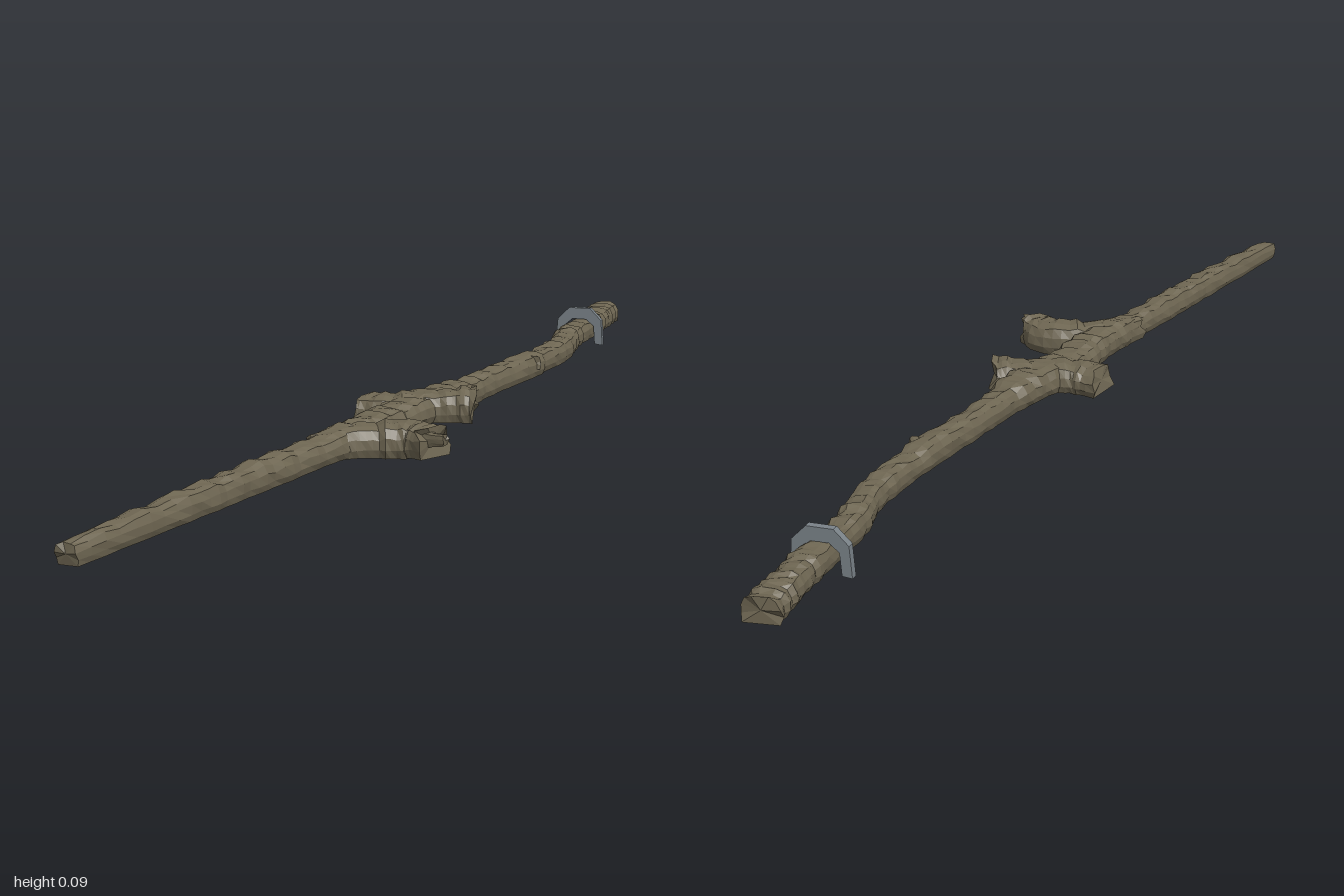
import * as THREE from 'three';

// Small seeded noise for the bark
let seed = 7;
const rand = () => {
  seed = (seed * 16807) % 2147483647;
  return seed / 2147483647;
};

// Half of a limb's outline: rounded on top, flat underneath [side, height]
const HALF = [[0.85, 0], [1, 0.28], [0.97, 0.6], [0.76, 0.87], [0.36, 0.98]];
const OUTLINE = [...HALF, ...HALF.slice().reverse().map(([u, v]) => [-u, v])];

// Loft the outline along stations of [x, z, width, bottom, top]
function limbGeometry(stations, rings, rough, jag) {
  const path = new THREE.CatmullRomCurve3(stations.map(s => new THREE.Vector3(s[0], 0, s[1])), false, 'centripetal');
  const n = OUTLINE.length;
  const positions = [];
  const index = [];
  const centres = [];
  let ridge = 1;
  for (let i = 0; i <= rings; i++) {
    const t = i / rings;
    const f = t * (stations.length - 1);
    const k = Math.min(Math.floor(f), stations.length - 2);
    const [w, b, h] = [2, 3, 4].map(c => THREE.MathUtils.lerp(stations[k][c], stations[k + 1][c], f - k));
    const p = path.getPoint(t);
    const d = path.getTangent(t);
    // Bark flakes: swell suddenly, then shrink back over a few rings
    ridge = i % 3 === 0 ? 1 + rough * rand() : ridge - rough * 0.35;
    const atEnd = i === 0 || i === rings;
    for (const [u, v] of OUTLINE) {
      const s = u * w / 2 * (ridge + rough * (rand() - 0.5));
      const y = b + v * (h - b) * (v > 0.5 ? ridge + rough * (rand() - 0.5) : 1);
      const along = atEnd ? jag * (rand() - 0.5) : 0;
      positions.push(p.x + d.z * s + d.x * along, y, p.z - d.x * s + d.z * along);
    }
    centres.push([p.x, (b + h) / 2, p.z]);
  }
  for (let i = 0; i < rings; i++) {
    for (let j = 0; j < n; j++) {
      const a = i * n + j, c = i * n + (j + 1) % n;
      index.push(a, c, c + n, a, c + n, a + n);
    }
  }
  // Broken ends
  const first = positions.length / 3;
  positions.push(...centres[0], ...centres[rings]);
  for (let j = 0; j < n; j++) {
    const k = (j + 1) % n;
    index.push(first, k, j, first + 1, rings * n + j, rings * n + k);
  }
  const geometry = new THREE.BufferGeometry();
  geometry.setAttribute('position', new THREE.Float32BufferAttribute(positions, 3));
  geometry.setIndex(index);
  const flat = geometry.toNonIndexed();
  flat.computeVertexNormals();
  return flat;
}

export function createModel() {
  const model = new THREE.Group();
  model.name = 'branch';
  const bark = new THREE.MeshStandardMaterial({ color: 0x6e6652, flatShading: true });
  bark.name = 'bark';
  const metal = new THREE.MeshStandardMaterial({ color: 0x7a8288, flatShading: true });
  metal.name = 'grey metal';

  const addLimb = (name, stations, rings, rough = 0.12, jag = 0.015) => {
    const mesh = new THREE.Mesh(limbGeometry(stations, rings, rough, jag), bark);
    mesh.name = name;
    model.add(mesh);
  };

  // Main stick, bending gently from the back to the front
  addLimb('mainStick', [
    [-0.432, -0.972, 0.07, 0.025, 0.07],
    [-0.385, -0.9, 0.058, 0.025, 0.068],
    [-0.335, -0.82, 0.056, 0.025, 0.066],
    [-0.26, -0.69, 0.054, 0.024, 0.066],
    [-0.18, -0.59, 0.052, 0.024, 0.066],
    [-0.1, -0.43, 0.054, 0.023, 0.068],
    [-0.02, -0.23, 0.054, 0.022, 0.068],
    [0.045, -0.08, 0.075, 0.021, 0.07],
    [0.085, 0.06, 0.085, 0.02, 0.07],
    [0.145, 0.19, 0.075, 0.018, 0.068],
    [0.195, 0.33, 0.062, 0.016, 0.064],
    [0.265, 0.53, 0.052, 0.012, 0.058],
    [0.33, 0.71, 0.05, 0.01, 0.053],
    [0.425, 0.982, 0.04, 0.005, 0.043],
  ], 110);

  // Short sawn limb crossing the stick
  addLimb('crossStub', [
    [-0.015, 0.075, 0.1, 0.018, 0.066],
    [0.035, 0.05, 0.09, 0.018, 0.07],
    [0.075, 0.0, 0.075, 0.02, 0.074],
    [0.105, -0.045, 0.075, 0.02, 0.078],
    [0.132, -0.075, 0.09, 0.02, 0.08],
  ], 18, 0.08, 0.02);

  // Curved broken limb on the left side
  addLimb('sideStub', [
    [0.185, 0.34, 0.045, 0.016, 0.062],
    [0.182, 0.265, 0.075, 0.014, 0.068],
    [0.21, 0.205, 0.085, 0.012, 0.07],
    [0.255, 0.168, 0.085, 0.012, 0.072],
    [0.3, 0.168, 0.08, 0.018, 0.075],
  ], 18, 0.08, 0.04);
  addLimb('splinter', [
    [0.27, 0.175, 0.04, 0.028, 0.066],
    [0.335, 0.17, 0.016, 0.045, 0.064],
  ], 3, 0.08, 0.01);

  // Little twig scar
  addLimb('knot', [
    [-0.1, -0.425, 0.05, 0.03, 0.068],
    [-0.064, -0.412, 0.022, 0.04, 0.066],
  ], 3, 0.08, 0.005);

  // Angular metal clip straddling the back of the stick, open below
  const outer = [[-0.054, 0.01], [-0.05, 0.066], [-0.024, 0.092], [0.024, 0.092], [0.05, 0.066], [0.054, 0.01]];
  const inner = [[0.036, 0.012], [0.033, 0.052], [0.016, 0.067], [-0.016, 0.067], [-0.033, 0.052], [-0.036, 0.012]];
  const arch = new THREE.Shape([...outer, ...inner].map(p => new THREE.Vector2(...p)));
  const clipGeometry = new THREE.ExtrudeGeometry(arch, { depth: 0.014, bevelEnabled: false });
  clipGeometry.translate(0, 0, -0.007);
  const clip = new THREE.Mesh(clipGeometry, metal);
  clip.name = 'clip';
  clip.position.set(-0.32, 0, -0.785);
  clip.rotation.y = 0.55;
  model.add(clip);

  return model;
}
